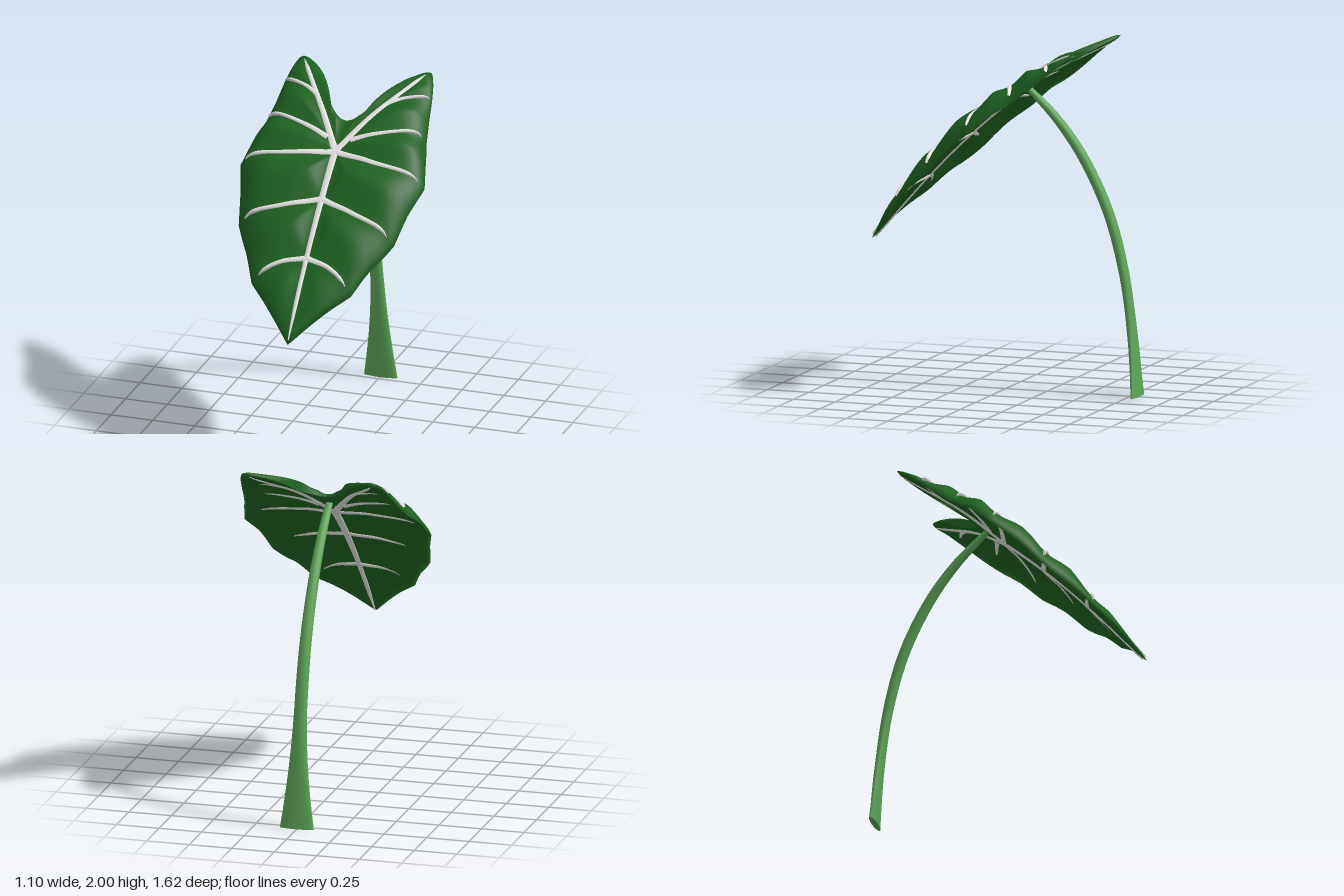
import * as THREE from 'three';
import { mergeVertices } from 'three/addons/utils/BufferGeometryUtils.js';

const mat = (name, color) => {
  const m = new THREE.MeshStandardMaterial({ color });
  m.name = name;
  return m;
};
const V2 = (x, z) => new THREE.Vector2(x, z);
const HUB = V2(0, -0.02);

// Vein layout for one half, as (x, z) paths with start half-width
const MIDRIB = [[0, -0.05], [0, 0.21], [0, 0.47], [0, 0.79]];
const SIDE_VEINS = [
  { name: 'lobeVein', r: 0.026, path: [[0, -0.02], [0.19, -0.28], [0.36, -0.525]] },
  { name: 'lobeBranchVein', r: 0.018, path: [[0.2, -0.3], [0.29, -0.355], [0.425, -0.4]] },
  { name: 'upperVein', r: 0.021, path: [[0.07, -0.085], [0.25, -0.135], [0.45, -0.19]] },
  { name: 'middleVein', r: 0.024, path: [[0, -0.02], [0.25, 0.025], [0.51, 0.043]] },
  { name: 'lowerVein', r: 0.023, path: [[0, 0.21], [0.22, 0.275], [0.42, 0.315]] },
  { name: 'tipVein', r: 0.022, path: [[0, 0.47], [0.12, 0.5], [0.255, 0.555]] },
];
// Folds of the blade: the veins, their runs out to the rim, and the notch
const CREASES = [
  MIDRIB, ...SIDE_VEINS.map((v) => v.path),
  [[0, -0.02], [0, -0.2]], [[0.45, -0.19], [0.49, -0.2]], [[0.51, 0.043], [0.55, 0.035]],
  [[0.42, 0.315], [0.464, 0.314]], [[0.255, 0.555], [0.297, 0.572]],
];

function creaseDistance(x, z) {
  let best = 1;
  for (const path of CREASES) {
    for (let i = 0; i < path.length - 1; i++) {
      const [ax, az] = path[i], [bx, bz] = path[i + 1];
      const dx = bx - ax, dz = bz - az;
      const t = THREE.MathUtils.clamp(((x - ax) * dx + (z - az) * dz) / (dx * dx + dz * dz), 0, 1);
      best = Math.min(best, Math.hypot(x - ax - t * dx, z - az - t * dz));
    }
  }
  return best;
}

// Blade height: arched slope, pillowed between veins, drooping at the outer rim (t = 1)
function bladeHeight(x, z, t) {
  const ax = Math.abs(x), s = THREE.MathUtils.smoothstep;
  const slope = 1.645 - 0.8 * z - 0.29 * z * z;
  const arch = 0.02 * s(ax, 0, 0.2) * (1 - t ** 6) * s(z, -0.45, -0.1);
  const outer = s(z, -0.3, -0.1);
  const pillow = 0.046 * (1 - Math.exp(-((creaseDistance(ax, z) / 0.085) ** 2))) * (1 - (1 - 0.28 * outer) * t ** 6);
  const droop = 0.08 * t ** 8 * Math.min(1, ax / 0.4) * s(z, -0.6, -0.2) * (1 - 0.4 * s(z, 0.35, 0.6));
  return slope + arch + pillow - droop;
}

// Blade outline: smooth notch and lobe, then straight runs between vein ends
function outline() {
  const lobe = new THREE.SplineCurve([
    V2(0, -0.196), V2(0.06, -0.226), V2(0.13, -0.305), V2(0.2, -0.43), V2(0.28, -0.51),
    V2(0.375, -0.555), V2(0.415, -0.5), V2(0.44, -0.41),
  ]).getPoints(56);
  const edge = [V2(0.44, -0.41), V2(0.457, -0.31), V2(0.48, -0.2), V2(0.5, -0.14), V2(0.55, 0.035),
    V2(0.5, 0.18), V2(0.464, 0.314), V2(0.37, 0.45), V2(0.297, 0.572), V2(0.15, 0.69), V2(0, 0.805)];
  const half = [...lobe];
  for (let i = 1; i < edge.length; i++) {
    for (let k = 1; k <= 6; k++) half.push(edge[i - 1].clone().lerp(edge[i], k / 6));
  }
  const mirrored = half.slice(1, -1).reverse().map((p) => V2(-p.x, p.y));
  return [...half, ...mirrored];
}

function smoothGeometry(pos, idx) {
  let g = new THREE.BufferGeometry();
  g.setAttribute('position', new THREE.Float32BufferAttribute(pos, 3));
  g.setIndex(idx);
  g = mergeVertices(g, 1e-5);
  g.computeVertexNormals();
  return g;
}

// Two skins radiating from the vein hub and meeting at the rim
function bladeGeometry() {
  const rim = outline(), n = rim.length, R = 28, pos = [], idx = [];
  for (const side of [1, -1]) {
    const base = pos.length / 3;
    for (const p of rim) {
      for (let j = 0; j <= R; j++) {
        const t = j / R, q = HUB.clone().lerp(p, t);
        const h = 0.015 * Math.sqrt(1 - t ** 10);
        pos.push(q.x, bladeHeight(q.x, q.y, t) + side * h, q.y + side * h * 0.7);
      }
    }
    for (let i = 0; i < n; i++) {
      for (let j = 0; j < R; j++) {
        const a = base + i * (R + 1) + j, b = base + ((i + 1) % n) * (R + 1) + j;
        const tris = j ? [[a, b, b + 1], [a, b + 1, a + 1]] : [[a, b + 1, a + 1]];
        for (const [u, v, w] of tris) idx.push(...(side > 0 ? [u, v, w] : [u, w, v]));
      }
    }
  }
  return smoothGeometry(pos, idx);
}

// Tube along points; size(t) gives [half-width, half-depth], power below 1 squares the section
function loft(points, up, size, sides, power = 1) {
  const pos = [], idx = [], n = points.length;
  const shape = (v) => Math.sign(v) * Math.abs(v) ** power;
  points.forEach((p, i) => {
    const tan = points[Math.min(i + 1, n - 1)].clone().sub(points[Math.max(i - 1, 0)]).normalize();
    const across = tan.clone().cross(up).normalize();
    const deep = tan.clone().cross(across);
    const [a, b] = size(i / (n - 1));
    for (let k = 0; k < sides; k++) {
      const w = (k / sides) * Math.PI * 2;
      const q = p.clone().addScaledVector(across, a * shape(Math.cos(w))).addScaledVector(deep, b * shape(Math.sin(w)));
      pos.push(q.x, q.y, q.z);
    }
  });
  for (let i = 0; i < n - 1; i++) {
    for (let k = 0; k < sides; k++) {
      const a = i * sides + k, b = i * sides + (k + 1) % sides;
      idx.push(a, b, b + sides, a, b + sides, a + sides);
    }
  }
  return smoothGeometry(pos, idx);
}

// Tapered vein lying in the blade and standing just proud of both faces
function veinGeometry(path, r, mirror = 1) {
  const curve = new THREE.SplineCurve(path.map(([x, z]) => V2(x * mirror, z)));
  const pts = curve.getPoints(24).map((p, i) => new THREE.Vector3(p.x, bladeHeight(p.x, p.y, 0.91 * i / 24), p.y));
  const up = new THREE.Vector3(0, 1, 0.8).normalize();
  return loft(pts, up, (t) => {
    const k = Math.min(1, (1 - t) / 0.15);
    return [r * (1 - 0.6 * t) * (0.2 + 0.8 * k), 0.016 + 0.008 * k];
  }, 12, 0.6);
}

export function createModel() {
  const model = new THREE.Group();
  const leafGreen = mat('leafGreen', 0x1e6221);
  const stemGreen = mat('stemGreen', 0x5ea658);
  const veinWhite = mat('veinWhite', 0xe4e4e2);
  const add = (name, geometry, material) => {
    const m = new THREE.Mesh(geometry, material);
    m.name = name;
    model.add(m);
    return m;
  };

  add('leafBlade', bladeGeometry(), leafGreen);

  // Veins
  add('midrib', veinGeometry(MIDRIB, 0.029), veinWhite);
  for (const v of SIDE_VEINS) {
    add(v.name + 'Left', veinGeometry(v.path, v.r), veinWhite);
    add(v.name + 'Right', veinGeometry(v.path, v.r, -1), veinWhite);
  }

  // Curved stalk, flared sideways at its foot
  const stalk = new THREE.CatmullRomCurve3([
    [0, -0.792], [0.335, -0.764], [0.71, -0.71], [1.05, -0.615], [1.36, -0.46], [1.56, -0.31], [1.68, -0.19], [1.735, -0.13],
  ].map(([y, z]) => new THREE.Vector3(0, y, z)));
  const width = (t) => 0.02 + 0.025 * (1 - t) + 0.055 * Math.max(0, 1 - t / 0.27) ** 1.6;
  const depth = (t) => 0.018 + 0.012 * Math.sin(Math.PI * Math.min(1, t * 1.1));
  add('stalk', loft(stalk.getPoints(40), new THREE.Vector3(0, 0, 1), (t) => [width(t), depth(t)], 16), stemGreen);
  const foot = add('stalkFoot', new THREE.CircleGeometry(1, 16), stemGreen);
  foot.scale.set(width(0), depth(0), 1);
  foot.rotation.x = Math.PI / 2;
  foot.position.set(0, 0.001, -0.792);

  return model;
}
